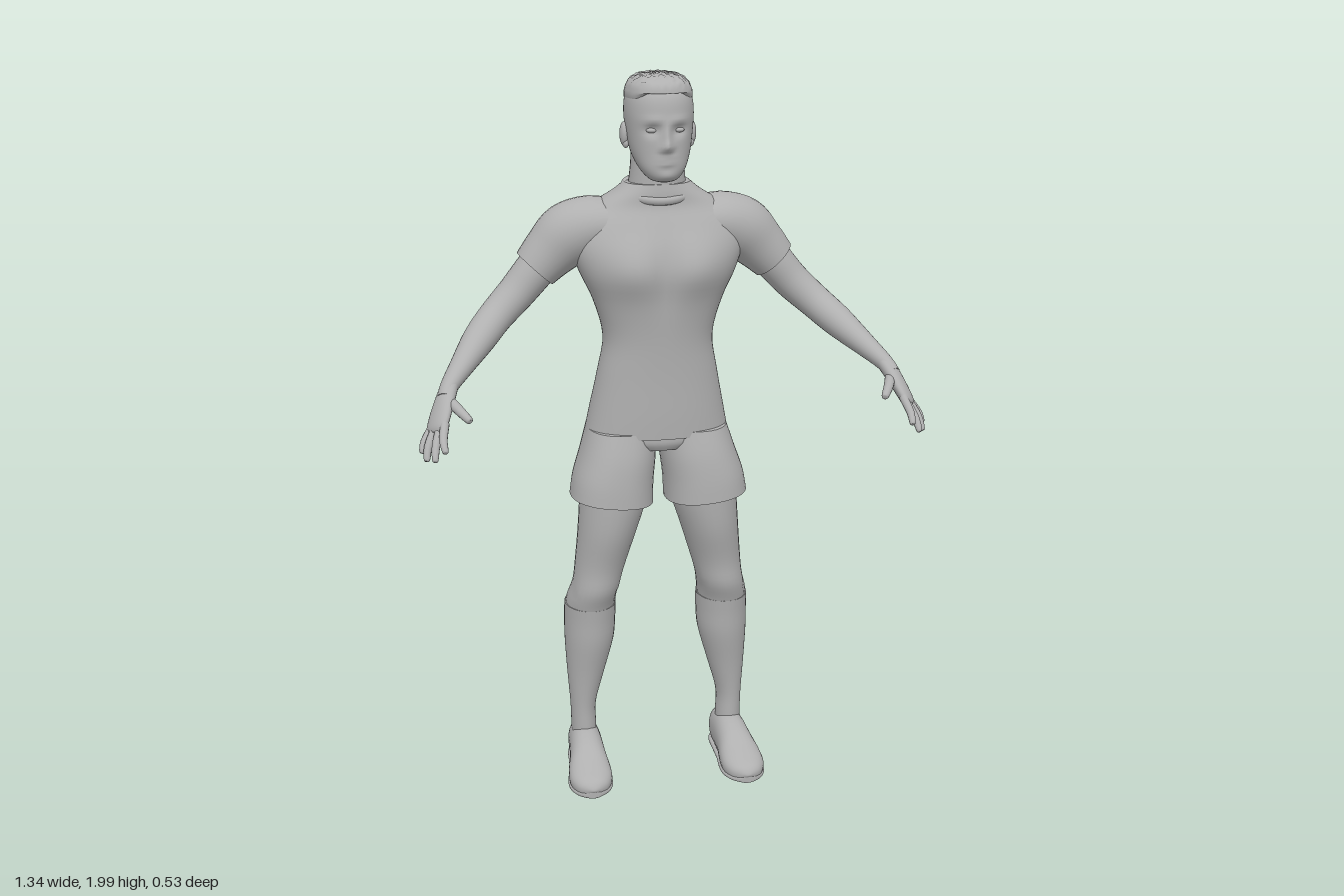
import * as THREE from 'three';

const V = (x, y, z) => new THREE.Vector3(x, y, z);
const bump = (d, w) => Math.exp(-(d * d) / (w * w));

// Smooth the row list [x, y, z, a, b] with a Catmull-Rom spline.
function smoothRows(rows, steps) {
  const out = [];
  const at = i => rows[Math.max(0, Math.min(rows.length - 1, i))];
  for (let i = 0; i < rows.length - 1; i++) {
    for (let s = 0; s < steps; s++) {
      const t = s / steps;
      out.push(rows[i].map((p1, k) => {
        const p0 = at(i - 1)[k], p2 = at(i + 1)[k], p3 = at(i + 2)[k];
        return 0.5 * (2 * p1 + (p2 - p0) * t + (2 * p0 - 5 * p1 + 4 * p2 - p3) * t * t
          + (3 * p1 - p0 - 3 * p2 + p3) * t * t * t);
      }));
    }
  }
  out.push(rows[rows.length - 1]);
  return out;
}

// Closed skin over superelliptic rings; a runs along ref, b across it.
// Upright lofts keep their rings level, others follow the path.
function loft(rows, { n = 28, steps = 4, ref = V(1, 0, 0), upright = true, power = 2, warp } = {}) {
  const R = smoothRows(rows, steps), pos = [], idx = [];
  const centre = r => V(r[0], r[1], r[2]);
  const bend = p => { if (warp) warp(p); return p; };
  R.forEach((r, i) => {
    const T = upright ? V(0, 1, 0)
      : centre(R[Math.min(i + 1, R.length - 1)]).sub(centre(R[Math.max(i - 1, 0)])).normalize();
    const U = ref.clone().addScaledVector(T, -ref.dot(T)).normalize();
    const W = T.clone().cross(U);
    for (let j = 0; j < n; j++) {
      const t = j / n * Math.PI * 2, c = Math.cos(t), s = Math.sin(t);
      const f = v => Math.sign(v) * Math.pow(Math.abs(v), 2 / power);
      const p = bend(centre(r).addScaledVector(U, r[3] * f(c)).addScaledVector(W, r[4] * f(s)));
      pos.push(p.x, p.y, p.z);
      if (i) {
        const a = (i - 1) * n + j, b = (i - 1) * n + (j + 1) % n;
        idx.push(a, b, b + n, a, b + n, a + n);
      }
    }
  });
  // End caps with their own vertices keep the hems sharp
  [0, R.length - 1].forEach((row, end) => {
    const base = pos.length / 3;
    for (let k = 0; k < n * 3; k++) pos.push(pos[row * n * 3 + k]);
    const c = centre(R[row]);
    pos.push(c.x, c.y, c.z);
    for (let j = 0; j < n; j++) {
      const a = base + j, b = base + (j + 1) % n;
      idx.push(base + n, end ? a : b, end ? b : a);
    }
  });
  const g = new THREE.BufferGeometry();
  g.setAttribute('position', new THREE.Float32BufferAttribute(pos, 3));
  g.setIndex(idx);
  g.computeVertexNormals();
  return g;
}

function mirrored(geo) {
  const g = geo.clone().applyMatrix4(new THREE.Matrix4().makeScale(-1, 1, 1));
  const a = g.index.array;
  for (let i = 0; i < a.length; i += 3) [a[i], a[i + 1]] = [a[i + 1], a[i]];
  return g;
}

export function createModel() {
  const group = new THREE.Group();
  const grey = new THREE.MeshStandardMaterial({ color: 0xb0b0b0 });
  grey.name = 'clay grey';
  const add = (name, geo) => {
    const m = new THREE.Mesh(geo, grey);
    m.name = name;
    group.add(m);
  };
  const pair = (name, geo) => {
    add('left' + name, geo);
    add('right' + name, mirrored(geo));
  };
  const ball = (x, y, z, a, b, c) => new THREE.SphereGeometry(1, 20, 14).scale(a, b, c).translate(x, y, z);

  // Shirt body with chest, spine groove and seat
  add('shirt', loft([
    [0, 1.025, -.13, .2, .125], [0, 1.09, -.125, .187, .122], [0, 1.2, -.112, .165, .11],
    [0, 1.3, -.105, .15, .108], [0, 1.4, -.105, .176, .12], [0, 1.48, -.108, .213, .133],
    [0, 1.55, -.116, .235, .128], [0, 1.61, -.125, .225, .112], [0, 1.655, -.125, .175, .092],
    [0, 1.69, -.115, .12, .08], [0, 1.715, -.11, .088, .072]
  ], {
    n: 64, power: 2.25, warp: p => {
      const x = Math.abs(p.x);
      if (p.z > -.08) p.z += .017 * bump(x - .09, .07) * bump(p.y - 1.5, .07) - .008 * bump(x, .03) * bump(p.y - 1.48, .1);
      if (p.z < -.16) {
        p.z -= .018 * bump(x - .08, .06) * bump(p.y - 1.08, .06) + .014 * bump(x - .1, .07) * bump(p.y - 1.54, .1);
        p.z += .02 * bump(x, .018) * bump(p.y - 1.06, .06) + .01 * bump(x, .03) * bump(p.y - 1.38, .2);
      }
    }
  }));
  pair('Sleeve', loft([
    [.1, 1.6, -.125, .085, .06], [.17, 1.6, -.128, .092, .078], [.235, 1.575, -.132, .088, .086],
    [.285, 1.532, -.133, .075, .074], [.328, 1.487, -.132, .067, .063]
  ], { upright: false, ref: V(0, 0, 1) }));
  add('collar', new THREE.TorusGeometry(.09, .01, 10, 48).scale(1, .86, 1.1)
    .rotateX(Math.PI / 2 + .33).translate(0, 1.697, -.105));

  // Shorts
  add('shortsSeat', loft([[0, .99, -.12, .12, .1], [0, 1.01, -.125, .17, .115], [0, 1.035, -.13, .192, .12]], { n: 40 }));
  pair('ShortsLeg', loft([
    [.133, .84, -.1, .115, .12], [.127, .9, -.105, .111, .122], [.112, .97, -.115, .104, .123], [.1, 1.04, -.13, .095, .12]
  ], { n: 40, power: 2.3, warp: p => { p.y += (p.x - .13) * .1 * (1.04 - p.y) / .2; } }));

  // Legs: bare thigh and knee, then sock
  pair('Leg', loft([
    [.193, .49, -.14, .07, .085], [.19, .53, -.13, .07, .085], [.177, .59, -.11, .067, .078], [.163, .66, -.105, .073, .085],
    [.145, .75, -.1, .083, .1], [.128, .84, -.1, .094, .108], [.12, .92, -.1, .096, .108]
  ], { warp: p => { if (p.z > -.08) p.z += .008 * bump(p.y - .57, .04); } }));
  pair('Sock', loft([
    [.215, .07, -.135, .036, .045], [.216, .13, -.135, .036, .046], [.217, .2, -.135, .037, .047], [.207, .3, -.138, .054, .062],
    [.196, .4, -.14, .07, .082], [.193, .47, -.14, .073, .088], [.192, .515, -.135, .073, .088]
  ]));

  // Shoes: upper with a flat underside, and a thin sole
  const shoe = [
    [.212, .055, -.2, .012, .02], [.212, .057, -.192, .034, .045], [.213, .062, -.165, .045, .06],
    [.215, .065, -.11, .048, .066], [.218, .058, -.05, .052, .058], [.221, .045, 0, .06, .046],
    [.223, .036, .045, .06, .037], [.224, .03, .08, .045, .029], [.224, .027, .097, .022, .016], [.224, .026, .1, .005, .005]
  ];
  pair('Shoe', loft(shoe, { upright: false, power: 2.3, warp: p => { p.y = Math.max(p.y, .014); } }));
  pair('ShoeSole', loft(shoe.map(r => [r[0], .018, r[2], r[3] + .002, .01]),
    { upright: false, power: 3 }));

  // Arms
  pair('Arm', loft([
    [.28, 1.54, -.132, .055, .055], [.325, 1.487, -.132, .058, .054], [.38, 1.425, -.125, .054, .05],
    [.44, 1.37, -.095, .048, .046], [.49, 1.325, -.04, .046, .043], [.545, 1.275, .04, .034, .031],
    [.582, 1.24, .095, .027, .023], [.598, 1.215, .125, .028, .02]
  ], { upright: false, ref: V(0, 0, 1) }));

  // Hands: palm, four fingers and thumb
  const spread = V(.035, -.025, -.055);
  pair('Palm', loft([
    [.578, 1.245, .088, .024, .02], [.594, 1.218, .12, .033, .021], [.61, 1.185, .15, .041, .019],
    [.623, 1.155, .175, .041, .016], [.628, 1.143, .184, .028, .009]
  ], { upright: false, ref: spread }));
  const fingers = {
    IndexFinger: [[.604, 1.17, .195], [.612, 1.14, .234], [.61, 1.118, .262]],
    MiddleFinger: [[.615, 1.158, .184], [.63, 1.122, .22], [.635, 1.092, .246]],
    RingFinger: [[.628, 1.15, .171], [.648, 1.114, .196], [.654, 1.084, .214]],
    LittleFinger: [[.637, 1.145, .155], [.656, 1.118, .172], [.663, 1.096, .185]],
    Thumb: [[.587, 1.212, .135], [.566, 1.2, .185], [.545, 1.184, .222]]
  };
  for (const [name, [a, b, c]] of Object.entries(fingers)) {
    const tip = c.map((v, k) => v + (c[k] - b[k]) * .12), r = name === 'Thumb' ? .013 : .0105;
    pair(name, loft([[...a, r * 1.1, r * 1.1], [...b, r, r], [...c, r * .75, r * .75], [...tip, .002, .002]],
      { upright: false, ref: spread, n: 12 }));
  }

  // Neck and head with modelled face
  add('neck', loft([[0, 1.64, -.115, .085, .078], [0, 1.7, -.112, .078, .073], [0, 1.76, -.105, .072, .066], [0, 1.82, -.1, .07, .06]]));
  add('head', loft([
    [0, 1.727, -.02, .015, .018], [0, 1.735, -.024, .038, .04], [0, 1.76, -.042, .06, .068], [0, 1.8, -.068, .077, .092],
    [0, 1.85, -.083, .086, .106], [0, 1.9, -.088, .09, .11], [0, 1.94, -.09, .086, .105],
    [0, 1.965, -.092, .073, .09], [0, 1.985, -.095, .048, .06], [0, 1.992, -.098, .01, .012]
  ], {
    n: 80, steps: 6, power: 2.2, warp: p => {
      if (p.z < -.05) return;
      const x = Math.abs(p.x), y = p.y;
      p.z += .02 * bump(x, .012) * bump(y - 1.822, .016) + .012 * bump(x, .01) * bump(y - 1.85, .025);
      p.z += .007 * bump(x - .013, .009) * bump(y - 1.817, .009);
      p.z += .005 * bump(x - .032, .03) * bump(y - 1.886, .011) - .012 * bump(x - .035, .019) * bump(y - 1.862, .014);
      p.z += .007 * bump(x, .022) * (bump(y - 1.793, .007) + bump(y - 1.778, .007));
      p.z += .006 * bump(x, .024) * bump(y - 1.745, .014);
    }
  }));
  pair('Eye', ball(.035, 1.862, .002, .015, .007, .011));
  pair('Ear', ball(.09, 1.842, -.095, .012, .032, .019).rotateX(0));
  pair('EarLobe', ball(.087, 1.818, -.087, .008, .012, .01));

  // Short, uneven cropped hair
  add('hair', loft([
    [0, 1.93, -.098, .086, .108], [0, 1.95, -.091, .087, .108], [0, 1.972, -.09, .078, .1],
    [0, 1.988, -.092, .06, .078], [0, 1.995, -.095, .035, .045], [0, 1.996, -.096, .004, .004]
  ], {
    n: 64, power: 2.3, warp: p => {
      const k = .5 + .5 * Math.sin(p.x * 310 + 2 * Math.sin(p.z * 170)) * Math.sin(p.z * 260 + p.y * 200);
      const top = Math.min(1, Math.max(0, (p.y - 1.945) / .03));
      p.y += .005 * k * top;
      p.x *= 1 + .03 * k * top;
      // Hairline rises over the forehead
      if (p.z > -.03) p.y += Math.max(0, 1.955 - p.y) * Math.min(1, (p.z + .03) / .03);
    }
  }));
  return group;
}
